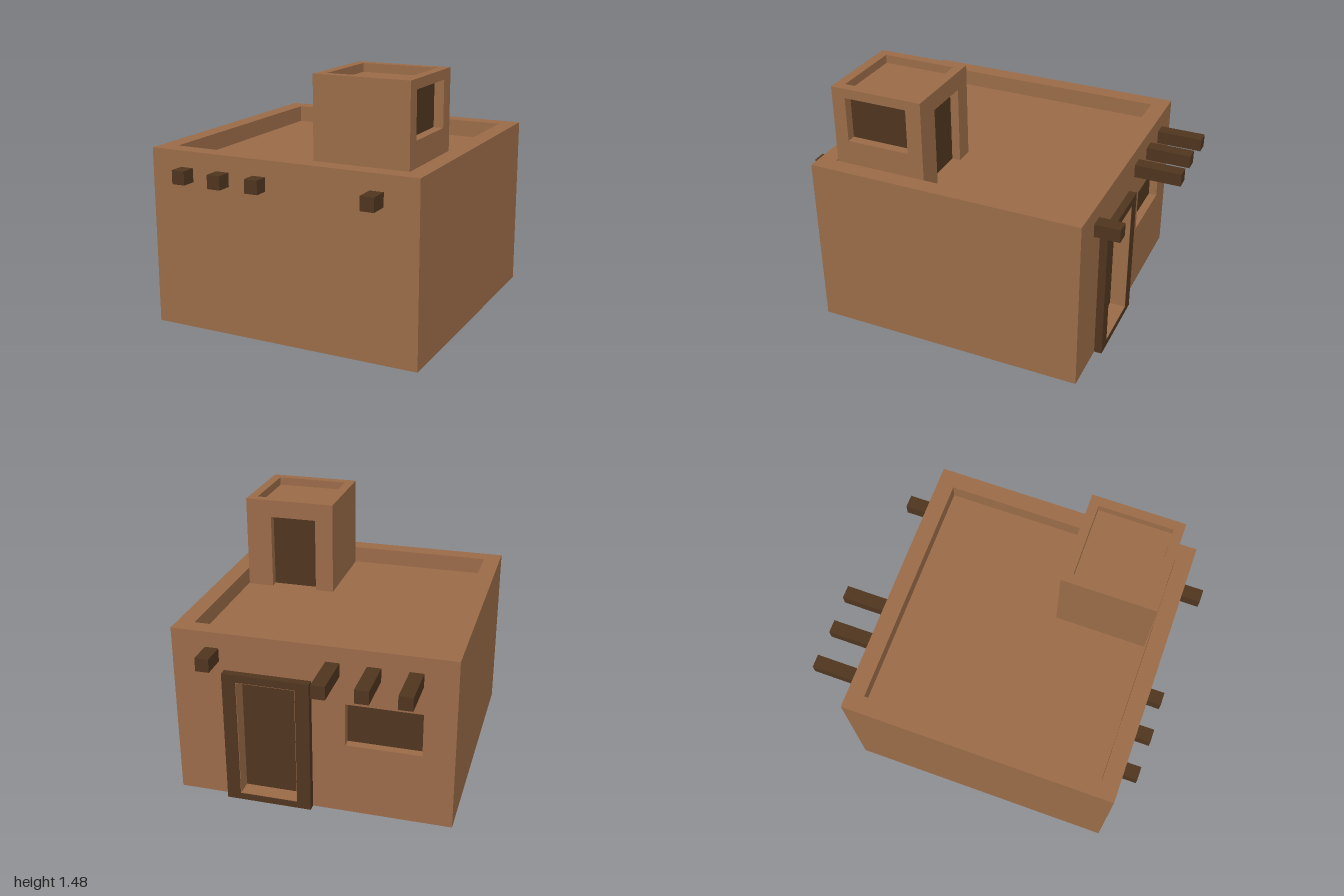
import * as THREE from 'three';

const clay = new THREE.MeshStandardMaterial({ color: 0x9a6b48, flatShading: true });
const wood = new THREE.MeshStandardMaterial({ color: 0x4f351f, flatShading: true });

// Box given by its limits on each axis
function block(parent, name, mat, [x0, x1], [y0, y1], [z0, z1]) {
  const mesh = new THREE.Mesh(new THREE.BoxGeometry(x1 - x0, y1 - y0, z1 - z0), mat);
  mesh.position.set((x0 + x1) / 2, (y0 + y1) / 2, (z0 + z1) / 2);
  mesh.name = name;
  parent.add(mesh);
  return mesh;
}

function rectPath(path, [u0, u1], [v0, v1]) {
  path.moveTo(u0, v0);
  path.lineTo(u1, v0);
  path.lineTo(u1, v1);
  path.lineTo(u0, v1);
  path.closePath();
  return path;
}

// Upright slab with one rectangular opening, extruded along +z from z = 0
function pierced(parent, name, mat, u, v, holeU, holeV, depth) {
  const shape = rectPath(new THREE.Shape(), u, v);
  shape.holes.push(rectPath(new THREE.Path(), holeU, holeV));
  return shape;
}

function addPierced(parent, name, mat, shape, depth, z = 0) {
  const mesh = new THREE.Mesh(new THREE.ExtrudeGeometry(shape, { depth, bevelEnabled: false }), mat);
  mesh.position.z = z;
  mesh.name = name;
  parent.add(mesh);
  return mesh;
}

function slabShape(u, v, ...openings) {
  const shape = rectPath(new THREE.Shape(), u, v);
  for (const [hu, hv] of openings) shape.holes.push(rectPath(new THREE.Path(), hu, hv));
  return shape;
}

function buildHouse() {
  const house = new THREE.Group();
  house.name = 'house';
  const doorX = [0.08, 0.42], doorY = [0.04, 0.755];
  const windowX = [-0.62, -0.19], windowY = [0.43, 0.685];

  // Core with the sunken roof, and the parapet walls around it
  block(house, 'roofAndCore', clay, [-0.7, 0.7], [0, 0.92], [-0.62, 0.78]);
  block(house, 'frontWall', clay, [-0.8, 0.8], [0, 1.02], [0.78, 0.88]);
  block(house, 'leftWall', clay, [0.7, 0.8], [0, 1.02], [-0.62, 0.78]);
  block(house, 'rightWall', clay, [-0.8, -0.7], [0, 1.02], [-0.62, 0.78]);
  addPierced(house, 'backWall', clay,
    slabShape([-0.8, 0.8], [0, 1.02], [doorX, doorY], [windowX, windowY]), 0.1, -0.72);

  // Door with its projecting frame, and the recessed window
  block(house, 'door', wood, doorX, doorY, [-0.67, -0.615]);
  block(house, 'windowPane', wood, windowX, windowY, [-0.67, -0.615]);
  addPierced(house, 'doorFrame', wood, slabShape([0, 0.5], [0, 0.8], [doorX, doorY]), 0.045, -0.765);
  const t = 0.003;
  addPierced(house, 'doorReveal', clay, slabShape(doorX, doorY,
    [[doorX[0] + t, doorX[1] - t], [doorY[0] + t, doorY[1] - t]]), 0.094, -0.764);
  return house;
}

function buildTower() {
  const tower = new THREE.Group();
  tower.name = 'roofTower';
  const x = [0.15, 0.695], y = [0.92, 1.475], z = [0.23, 0.77], w = 0.055;
  const doorX = [0.26, 0.54], doorY = [0.921, 1.37];
  const windowZ = [0.32, 0.69], windowY = [1.16, 1.42];
  const innerZ = [z[0] + w, z[1] - w];

  block(tower, 'towerCore', clay, [x[0] + w, x[1] - w - 0.02], [y[0], 1.425], [innerZ[0] + 0.01, innerZ[1]]);
  block(tower, 'towerRoof', clay, [x[0] + w, x[1] - w], [1.421, 1.426], innerZ);
  block(tower, 'towerFrontWall', clay, x, y, [innerZ[1], z[1]]);
  block(tower, 'towerRightWall', clay, [x[0], x[0] + w], y, innerZ);
  addPierced(tower, 'towerBackWall', clay, slabShape(x, y, [doorX, doorY]), w, z[0]);

  // Side wall is drawn along z, then turned to face +x
  const side = addPierced(tower, 'towerLeftWall', clay,
    slabShape([-innerZ[1], -innerZ[0]], y, [[-windowZ[1], -windowZ[0]], windowY]), w);
  side.rotation.y = Math.PI / 2;
  side.position.x = x[1] - w;

  block(tower, 'towerDoor', wood, doorX, doorY, [z[0] + 0.05, z[0] + 0.075]);
  block(tower, 'towerWindowPane', wood, [0.61, 0.638], [1.155, 1.421], [0.315, 0.695]);
  return tower;
}

// Roof beam ends: centre x, back tip z, front tip z
function buildBeams() {
  const beams = new THREE.Group();
  beams.name = 'roofBeams';
  const layout = [
    [-0.576, -0.99, 0.965],
    [-0.347, -0.985, 0.97],
    [-0.12, -0.995, 0.962],
    [0.565, -0.865, 0.995],
  ];
  for (const [cx, back, front] of layout) {
    const bx = [cx - 0.039, cx + 0.039], by = [0.85, 0.928];
    block(beams, 'backBeam', wood, bx, by, [back, -0.67]);
    block(beams, 'frontBeam', wood, bx, by, [0.83, front]);
  }
  return beams;
}

export function createModel() {
  const model = new THREE.Group();
  model.name = 'adobeHouse';
  model.add(buildHouse(), buildTower(), buildBeams());
  return model;
}
